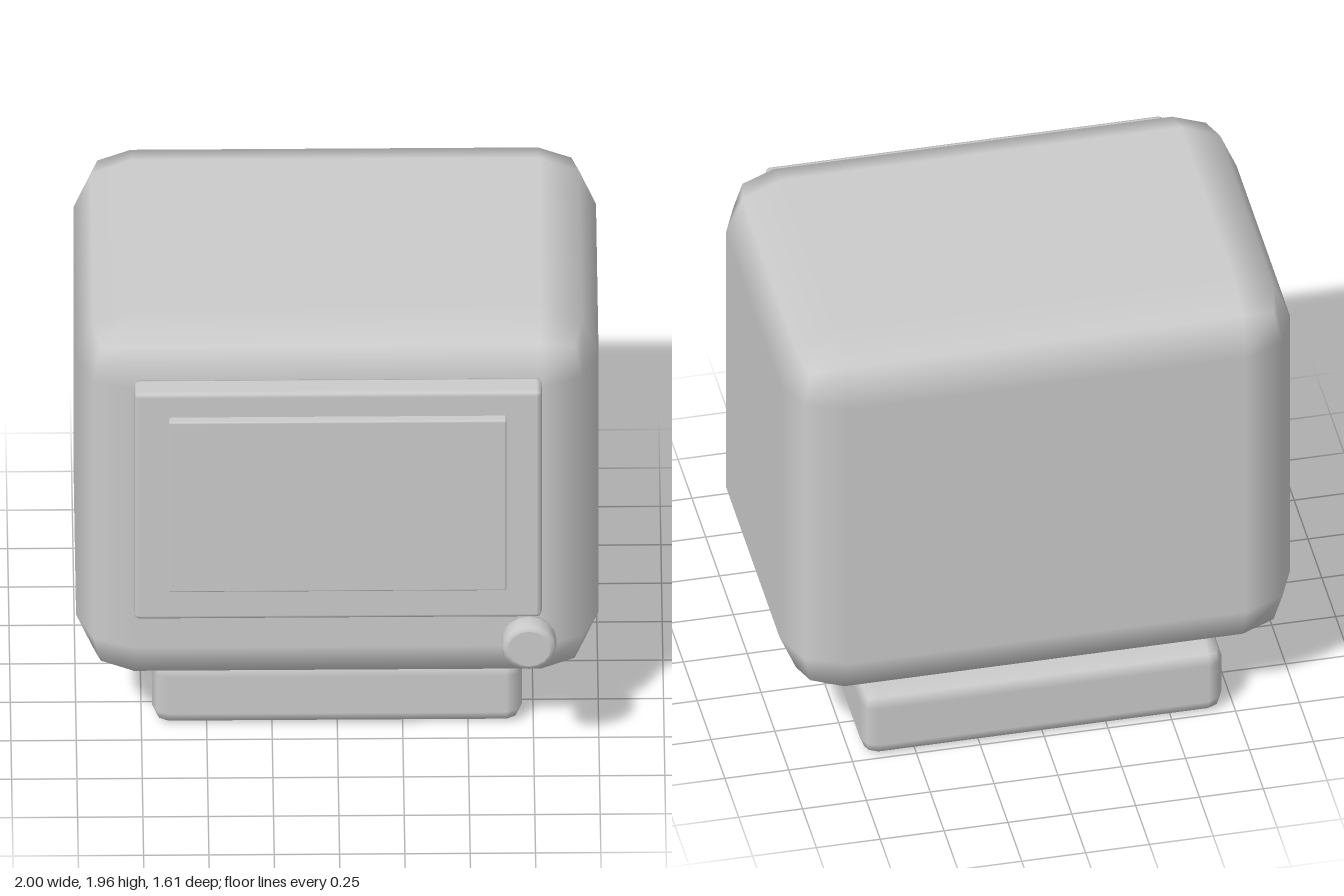
import * as THREE from 'three';
import { RoundedBoxGeometry } from 'three/addons/geometries/RoundedBoxGeometry.js';

const material = new THREE.MeshStandardMaterial({ color: 0xcccccc });

// Box with a two-step rounded bevel, given by its min and max corners
function bevelBox(name, [x0, y0, z0], [x1, y1, z1], radius) {
  const geometry = new RoundedBoxGeometry(x1 - x0, y1 - y0, z1 - z0, 1, radius);
  const mesh = new THREE.Mesh(geometry, material);
  mesh.position.set((x0 + x1) / 2, (y0 + y1) / 2, (z0 + z1) / 2);
  mesh.name = name;
  return mesh;
}

// Round knob facing +z with bevelled rims
function makeKnob(radius, depth, bevel) {
  const h = depth / 2;
  const profile = [[0, -h], [radius - bevel * 1.1, -h]];
  for (const side of [-1, 1]) {
    for (let i = 0; i <= 2; i++) {
      const a = (side < 0 ? i - 2 : i) * Math.PI / 4;
      profile.push([radius - bevel + bevel * Math.cos(a), side * (h - bevel) + bevel * Math.sin(a)]);
    }
  }
  profile.push([radius - bevel * 1.1, h], [0, h]);
  const geometry = new THREE.LatheGeometry(profile.map(([x, y]) => new THREE.Vector2(x, y)), 16);
  geometry.rotateX(Math.PI / 2);
  const mesh = new THREE.Mesh(geometry, material);
  mesh.name = 'knob';
  return mesh;
}

export function createModel() {
  const model = new THREE.Group();
  model.name = 'monitor';

  // Housing on its foot
  model.add(bevelBox('housing', [-1, 0.295, -0.803], [1, 1.957, 0.608], 0.22));
  model.add(bevelBox('base', [-0.708, 0, -0.75], [0.708, 0.295, 0.418], 0.062));

  // Screen frame and screen
  model.add(bevelBox('screenFrame', [-0.78, 0.715, 0.602], [0.78, 1.785, 0.706], 0.02));
  model.add(bevelBox('screen', [-0.648, 0.87, 0.665], [0.645, 1.675, 0.74], 0.008));

  // Control knob below the screen
  const knob = makeKnob(0.105, 0.088, 0.022);
  knob.position.set(0.73, 0.64, 0.759);
  model.add(knob);

  return model;
}
